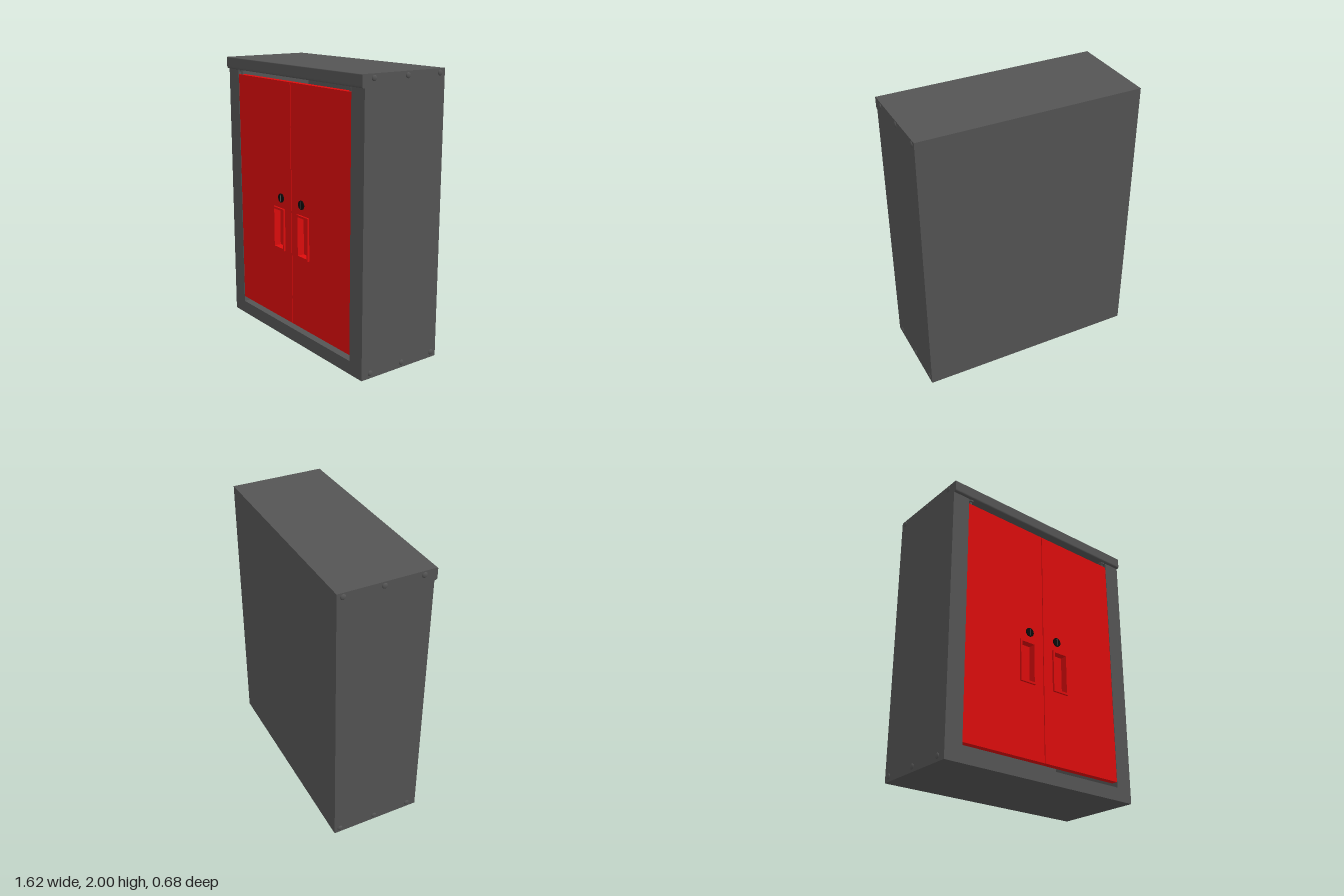
import * as THREE from 'three';

const grey = new THREE.MeshStandardMaterial({ color: 0x555555 });
const red = new THREE.MeshStandardMaterial({ color: 0xdd0c0c });
const black = new THREE.MeshStandardMaterial({ color: 0x0a0a0a });

function add(parent, name, geometry, material, x = 0, y = 0, z = 0) {
  const mesh = new THREE.Mesh(geometry, material);
  mesh.name = name;
  mesh.position.set(x, y, z);
  parent.add(mesh);
  return mesh;
}

// Box given by its minimum and maximum on each axis
function box(parent, name, material, [x0, x1], [y0, y1], [z0, z1]) {
  return add(parent, name, new THREE.BoxGeometry(x1 - x0, y1 - y0, z1 - z0), material,
    (x0 + x1) / 2, (y0 + y1) / 2, (z0 + z1) / 2);
}

function rectangle(Type, x0, x1, y0, y1) {
  return new Type([[x0, y0], [x1, y0], [x1, y1], [x0, y1]].map(p => new THREE.Vector2(...p)));
}

// Flat panel with a rectangular opening, extruded along z
function framePanel(outer, inner, depth) {
  const shape = rectangle(THREE.Shape, ...outer);
  shape.holes.push(rectangle(THREE.Path, ...inner));
  return new THREE.ExtrudeGeometry(shape, { depth, bevelEnabled: false });
}

function createDoor(side) {
  const door = new THREE.Group();
  door.name = side > 0 ? 'leftDoor' : 'rightDoor';
  const span = (a, b) => side > 0 ? [a, b] : [-b, -a];

  // Panel pierced by the pull recess
  add(door, 'doorPanel', framePanel([...span(0.003, 0.67), 0.135, 1.88],
    [...span(0.095, 0.2), 0.68, 0.96], 0.045), red, 0, 0, 0.272);

  // Recessed pull with a raised rim
  add(door, 'handleRim', framePanel([...span(0.082, 0.213), 0.665, 0.975],
    [...span(0.095, 0.2), 0.68, 0.96], 0.018), red, 0, 0, 0.314);
  box(door, 'handleRecess', red, span(0.09, 0.205), [0.67, 0.97], [0.265, 0.28]);

  // Round lock with a key slot
  const lock = add(door, 'lock', new THREE.CylinderGeometry(0.032, 0.032, 0.02, 32), black,
    side * 0.125, 1.05, 0.315);
  lock.rotation.x = Math.PI / 2;
  box(door, 'keySlot', grey, [side * 0.125 - 0.003, side * 0.125 + 0.003], [1.024, 1.076], [0.32, 0.326]);

  // Hinge pin above the outer corner
  add(door, 'hingePin', new THREE.CylinderGeometry(0.01, 0.01, 0.035, 16), grey, side * 0.645, 1.893, 0.3);
  add(door, 'hingeCap', new THREE.CylinderGeometry(0.023, 0.023, 0.012, 16), grey, side * 0.645, 1.909, 0.3);
  return door;
}

export function createModel() {
  const model = new THREE.Group();
  model.name = 'cabinet';

  // Hollow case
  const body = new THREE.Group();
  body.name = 'case';
  model.add(body);
  add(body, 'frontFrame', framePanel([-0.8, 0.8, 0, 2], [-0.67, 0.67, 0.095, 1.92], 0.06), grey, 0, 0, 0.26);
  box(body, 'backWall', grey, [-0.8, 0.8], [0, 2], [-0.34, -0.31]);
  box(body, 'floor', grey, [-0.8, 0.8], [0, 0.095], [-0.31, 0.26]);
  box(body, 'roof', grey, [-0.8, 0.8], [1.92, 2], [-0.31, 0.26]);
  for (const side of [-1, 1]) {
    box(body, 'sideWall', grey, [side * 0.735 - 0.065, side * 0.735 + 0.065], [0.095, 1.92], [-0.31, 0.26]);
  }

  // Rounded hood lip, profile in (z, y) swept across the width
  const lip = new THREE.Shape();
  lip.moveTo(0.31, 1.915);
  lip.lineTo(0.325, 1.915);
  lip.quadraticCurveTo(0.34, 1.915, 0.34, 1.932);
  lip.lineTo(0.34, 1.992);
  lip.quadraticCurveTo(0.34, 2, 0.332, 2);
  lip.lineTo(0.31, 2);
  const lipGeometry = new THREE.ExtrudeGeometry(lip, { depth: 1.6, bevelEnabled: false, curveSegments: 8 });
  lipGeometry.rotateY(-Math.PI / 2);
  add(model, 'hoodLip', lipGeometry, grey, 0.8, 0, 0);

  for (const side of [-1, 1]) {
    model.add(createDoor(side));
    // Domed rivets along the top and bottom of each side
    for (const y of [0.037, 1.972]) {
      for (const z of [0.248, -0.025, -0.298]) {
        const rivet = add(model, 'rivet',
          new THREE.SphereGeometry(0.019, 20, 8, 0, Math.PI * 2, 0, Math.PI / 2), grey, side * 0.8, y, z);
        rivet.scale.y = 0.45;
        rivet.rotation.z = -side * Math.PI / 2;
      }
    }
  }
  return model;
}
